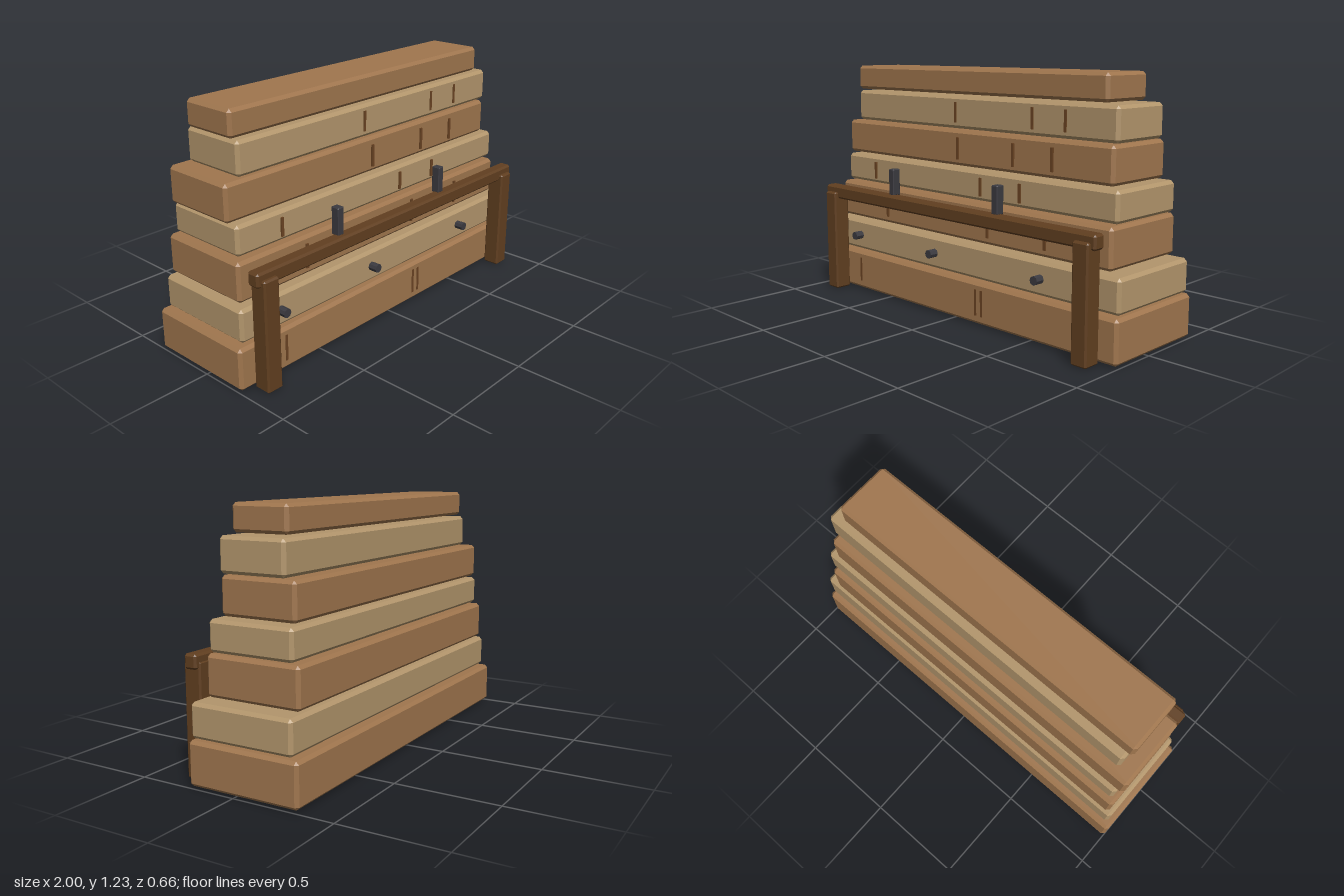
import * as THREE from 'three';
import { ConvexGeometry } from 'three/addons/geometries/ConvexGeometry.js';

const mat = (name, color) => new THREE.MeshStandardMaterial({ name, color });

// Box given by its limits, with every edge cut at 45 degrees by c
function chamferedBox(name, [x0, x1], [y0, y1], [z0, z1], c, material) {
  const half = [(x1 - x0) / 2, (y1 - y0) / 2, (z1 - z0) / 2];
  const points = [];
  for (const sx of [-1, 1]) for (const sy of [-1, 1]) for (const sz of [-1, 1]) {
    for (let axis = 0; axis < 3; axis++) {
      const p = half.map((h, i) => (i === axis ? h : h - c));
      points.push(new THREE.Vector3(sx * p[0], sy * p[1], sz * p[2]));
    }
  }
  const mesh = new THREE.Mesh(new ConvexGeometry(points), material);
  mesh.position.set((x0 + x1) / 2, (y0 + y1) / 2, (z0 + z1) / 2);
  mesh.name = name;
  return mesh;
}

export function createModel() {
  const model = new THREE.Group();
  model.name = 'steppedTimberWall';

  const brown = mat('warmBrownWood', 0xa0764e);
  const tan = mat('paleTanWood', 0xb3966c);
  const dark = mat('darkBeamWood', 0x613f20);
  const groove = mat('grooveBrown', 0x6b4423);
  const iron = mat('darkIron', 0x3b3a40);

  // Stacked planks from bottom to top, with upright grain marks on the front
  const planks = [
    { x: [-1, 1], y: [0.008, 0.215], z: [-0.328, 0.24], marks: [-0.73, 0.165, 0.205], my: [0.05, 0.18], mz: 0.238 },
    { x: [-0.97, 0.997], y: [0.225, 0.386], z: [-0.3, 0.224], marks: [] },
    { x: [-0.945, 0.925], y: [0.395, 0.586], z: [-0.29, 0.189], marks: [-0.545, 0.2, 0.56], my: [0.43, 0.55], mz: 0.194 },
    { x: [-0.92, 0.935], y: [0.596, 0.74], z: [-0.267, 0.164], marks: [-0.67, 0.13, 0.385], my: [0.62, 0.71], mz: 0.171 },
    { x: [-0.945, 0.885], y: [0.747, 0.923], z: [-0.25, 0.133], marks: [-0.05, 0.32, 0.558], my: [0.78, 0.89], mz: 0.148 },
    { x: [-0.865, 0.9], y: [0.93, 1.09], z: [-0.21, 0.126], marks: [-0.085, 0.42, 0.615], my: [0.96, 1.06], mz: 0.126 },
    { x: [-0.885, 0.83], y: [1.098, 1.225], z: [-0.178, 0.11], marks: [] },
  ];
  planks.forEach((p, i) => {
    model.add(chamferedBox('plank' + (i + 1), p.x, p.y, p.z, 0.015, i % 2 ? tan : brown));
    for (const x of p.marks) {
      const mark = new THREE.Mesh(new THREE.BoxGeometry(0.014, p.my[1] - p.my[0], 0.008), groove);
      mark.position.set(x, (p.my[0] + p.my[1]) / 2, p.mz);
      mark.name = 'grainMark';
      model.add(mark);
    }
  });

  // Front trestle: two legs and a rail
  model.add(chamferedBox('rightLeg', [-0.922, -0.836], [0, 0.54], [0.238, 0.328], 0.008, dark));
  model.add(chamferedBox('leftLeg', [0.822, 0.908], [0, 0.54], [0.238, 0.328], 0.008, dark));
  model.add(chamferedBox('rail', [-0.942, 0.93], [0.506, 0.575], [0.243, 0.308], 0.01, dark));

  // Iron posts on the rail
  for (const x of [-0.41, 0.328]) {
    model.add(chamferedBox('railPost', [x - 0.019, x + 0.019], [0.572, 0.708], [0.234, 0.279], 0.004, iron));
  }

  // Round pegs in the second plank
  for (const x of [-0.745, -0.14, 0.562]) {
    const peg = new THREE.Mesh(new THREE.CylinderGeometry(0.022, 0.022, 0.06, 8), iron);
    peg.material.flatShading = true;
    peg.rotation.x = Math.PI / 2;
    peg.position.set(x, 0.305, 0.24);
    peg.name = 'peg';
    model.add(peg);
  }

  return model;
}
